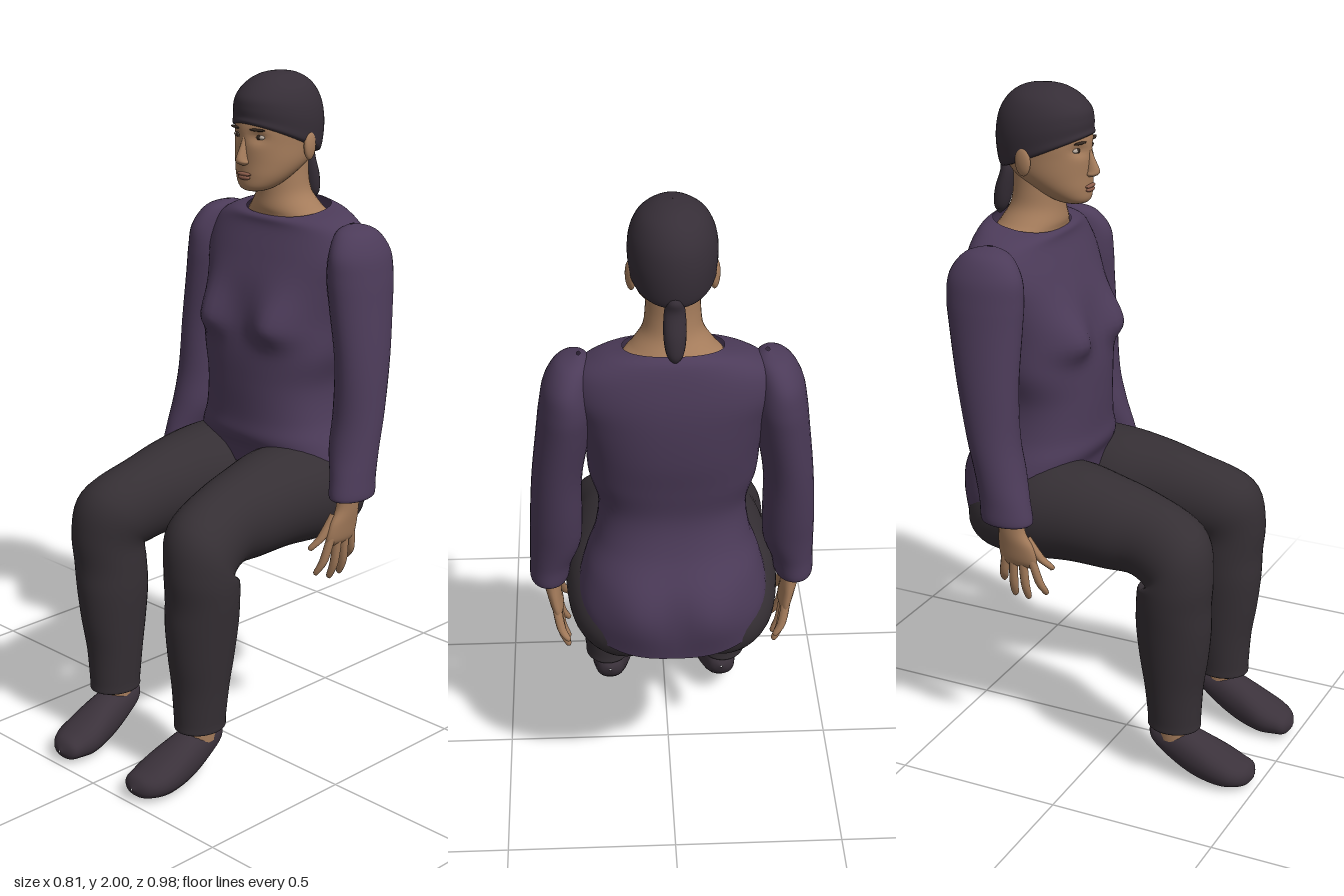
import * as THREE from 'three';

const mat = (name, color, side = THREE.FrontSide) => {
  const m = new THREE.MeshStandardMaterial({ color, side });
  m.name = name;
  return m;
};
const shirt = mat('purple shirt', 0x4c3b59, THREE.DoubleSide);
const trouser = mat('charcoal trousers', 0x352f34, THREE.DoubleSide);
const shoeMat = mat('dark shoe', 0x3b323b);
const hairMat = mat('dark hair', 0x362e37, THREE.DoubleSide);
const skin = mat('skin', 0xa67d5c);
const lipMat = mat('lips', 0x8a5c4a);
const eyeMat = mat('eye white', 0xb5a89c);
const browMat = mat('brow and iris', 0x33271f);

const gauss = (a, sa, b, sb) => Math.exp(-((a / sa) ** 2) - (b / sb) ** 2);

// Smooth skin over oval sections [x, y, z, halfWidth, halfDepth, tilt in degrees].
// Tilt 0 runs downward, tilt 90 runs forward.
function loft(sections, { seg = 32, sub = 5, power = 2, mod } = {}) {
  const rows = (sections.length - 1) * sub;
  const pos = [], index = [];
  const value = (i, k) => sections[Math.min(Math.max(i, 0), sections.length - 1)][k] ?? 0;
  const at = (t, k) => {
    const i = Math.min(Math.floor(t), sections.length - 2), f = t - i;
    const a = value(i - 1, k), b = value(i, k), c = value(i + 1, k), d = value(i + 2, k);
    return b + 0.5 * f * (c - a + f * (2 * a - 5 * b + 4 * c - d + f * (3 * (b - c) + d - a)));
  };
  const bend = (v) => Math.sign(v) * Math.abs(v) ** (2 / power);
  for (let r = 0; r <= rows; r++) {
    const [x, y, z, rx, rv, deg] = [0, 1, 2, 3, 4, 5].map((k) => at(r / sub, k));
    const tilt = THREE.MathUtils.degToRad(deg);
    for (let j = 0; j < seg; j++) {
      const a = (j / seg) * Math.PI * 2;
      const u = Math.max(rx, 0.001) * bend(Math.cos(a)), v = Math.max(rv, 0.001) * bend(Math.sin(a));
      const p = new THREE.Vector3(x + u, y + v * Math.sin(tilt), z + v * Math.cos(tilt));
      if (mod) mod(p, Math.sin(a));
      pos.push(p.x, p.y, p.z);
      if (r < rows) {
        const k = r * seg, n = (j + 1) % seg;
        index.push(k + j, k + n, k + seg + j, k + n, k + seg + n, k + seg + j);
      }
    }
  }
  const g = new THREE.BufferGeometry();
  g.setAttribute('position', new THREE.Float32BufferAttribute(pos, 3));
  g.setIndex(index);
  g.computeVertexNormals();
  return g;
}

export function createModel() {
  const model = new THREE.Group();
  model.name = 'seatedFigure';
  const add = (name, geometry, material) => {
    const m = new THREE.Mesh(geometry, material);
    m.name = name;
    model.add(m);
    return m;
  };
  const blob = (name, material, p, r) => {
    const m = add(name, new THREE.SphereGeometry(1, 24, 16), material);
    m.position.set(...p);
    m.scale.set(...r);
    return m;
  };

  // Shirt body, with bust and seat swelling out of the plain sections
  add('shirtBody', loft([
    [0, 1.605, -0.30, 0.135, 0.10, -10], [0, 1.59, -0.305, 0.20, 0.115, -6],
    [0, 1.55, -0.31, 0.26, 0.125], [0, 1.48, -0.30, 0.28, 0.145],
    [0, 1.40, -0.285, 0.26, 0.16], [0, 1.30, -0.27, 0.24, 0.165],
    [0, 1.20, -0.25, 0.232, 0.165], [0, 1.10, -0.24, 0.207, 0.16],
    [0, 1.00, -0.25, 0.217, 0.17], [0, 0.92, -0.27, 0.245, 0.195, 8],
    [0, 0.84, -0.285, 0.265, 0.20, 18], [0, 0.77, -0.285, 0.265, 0.20, 24],
  ], {
    seg: 56, sub: 6, power: 2.3, mod: (p, s) => {
      const x = Math.abs(p.x);
      if (s > 0) p.z += 0.06 * s * gauss(x - 0.135, 0.075, p.y - 1.285, p.y > 1.285 ? 0.09 : 0.05);
      else p.z += 0.025 * s * gauss(x - 0.11, 0.09, p.y - 0.83, 0.1);
    },
  }), shirt);

  // Trouser seat
  blob('trouserSeat', trouser, [0, 0.755, -0.29], [0.24, 0.125, 0.172]);

  // Head and neck
  add('head', loft([
    [0, 1.965, -0.25, 0, 0], [0, 1.955, -0.25, 0.05, 0.07], [0, 1.92, -0.25, 0.088, 0.112],
    [0, 1.86, -0.25, 0.105, 0.138], [0, 1.80, -0.245, 0.103, 0.135], [0, 1.75, -0.23, 0.097, 0.118],
    [0, 1.71, -0.20, 0.08, 0.088], [0, 1.68, -0.175, 0.055, 0.06], [0, 1.667, -0.165, 0.03, 0.035],
    [0, 1.662, -0.165, 0, 0],
  ], {
    seg: 56, sub: 7, mod: (p, s) => {
      if (s > 0) p.z -= 0.012 * gauss(Math.abs(p.x) - 0.042, 0.022, p.y - 1.825, 0.016);
    },
  }), skin);
  add('neck', loft([
    [0, 1.76, -0.275, 0.072, 0.075], [0, 1.70, -0.275, 0.074, 0.075], [0, 1.65, -0.28, 0.082, 0.08],
    [0, 1.61, -0.29, 0.11, 0.093], [0, 1.585, -0.30, 0.135, 0.098], [0, 1.555, -0.30, 0.14, 0.1],
  ]), skin);
  add('nose', loft([
    [0, 1.83, -0.12, 0.006, 0.008], [0, 1.80, -0.113, 0.009, 0.013], [0, 1.765, -0.105, 0.015, 0.021],
    [0, 1.752, -0.107, 0.019, 0.019], [0, 1.744, -0.112, 0.008, 0.008],
  ], { seg: 16 }), skin);
  blob('upperLip', lipMat, [0, 1.718, -0.113], [0.027, 0.006, 0.009]);
  blob('lowerLip', lipMat, [0, 1.708, -0.113], [0.023, 0.007, 0.009]);

  // Hair cap and ponytail
  add('hairCap', loft([
    [0, 2.0, -0.25, 0, 0], [0, 1.991, -0.25, 0.045, 0.06], [0, 1.965, -0.25, 0.086, 0.105],
    [0, 1.925, -0.252, 0.109, 0.136, 4], [0, 1.88, -0.254, 0.118, 0.147, 10],
    [0, 1.835, -0.252, 0.117, 0.15, 18], [0, 1.81, -0.245, 0.113, 0.148, 22],
    [0, 1.805, -0.245, 0.09, 0.12, 22],
  ], { seg: 40 }), hairMat);
  add('ponytail', loft([
    [0, 1.80, -0.37, 0.008, 0.01], [0, 1.775, -0.38, 0.02, 0.02], [0, 1.74, -0.375, 0.028, 0.021],
    [0, 1.68, -0.39, 0.03, 0.026], [0, 1.63, -0.40, 0.022, 0.021], [0, 1.605, -0.405, 0.003, 0.003],
  ], { seg: 16 }), hairMat);

  for (const s of [1, -1]) {
    const side = s > 0 ? 'left' : 'right';
    const limb = (name, material, sections, options) =>
      add(side + name, loft(sections.map(([x, ...rest]) => [s * x, ...rest]), options), material);

    // Face details
    blob(side + 'Ear', skin, [s * 0.11, 1.795, -0.268], [0.013, 0.042, 0.027]).rotation.y = s * 0.25;
    blob(side + 'Eye', eyeMat, [s * 0.042, 1.825, -0.134], [0.018, 0.007, 0.008]);
    blob(side + 'Iris', browMat, [s * 0.042, 1.825, -0.129], [0.007, 0.007, 0.005]);
    blob(side + 'Brow', browMat, [s * 0.044, 1.847, -0.121], [0.025, 0.004, 0.005]).rotation.y = s * 0.3;

    // Sleeve
    limb('Sleeve', shirt, [
      [0.25, 1.585, -0.30, 0.005, 0.01], [0.265, 1.565, -0.30, 0.045, 0.07],
      [0.28, 1.51, -0.30, 0.065, 0.11], [0.285, 1.44, -0.30, 0.075, 0.117],
      [0.295, 1.36, -0.295, 0.075, 0.11], [0.318, 1.20, -0.28, 0.07, 0.092],
      [0.325, 1.05, -0.262, 0.073, 0.078], [0.33, 0.95, -0.24, 0.072, 0.075],
      [0.345, 0.87, -0.22, 0.06, 0.076], [0.352, 0.81, -0.21, 0.054, 0.078],
      [0.352, 0.815, -0.21, 0.03, 0.05],
    ]);

    // Hand: palm, four fingers and a thumb
    limb('Palm', skin, [
      [0.348, 0.85, -0.20, 0.03, 0.038], [0.345, 0.78, -0.20, 0.026, 0.041],
      [0.34, 0.73, -0.19, 0.022, 0.055], [0.332, 0.68, -0.185, 0.018, 0.058],
      [0.33, 0.66, -0.185, 0.003, 0.04],
    ], { seg: 20 });
    const finger = (name, [x, y, z], [tx, ty, tz], r) => limb(name, skin, [
      [x, y, z, r, r], [x * 0.4 + tx * 0.6 + 0.006, y * 0.4 + ty * 0.6, z * 0.4 + tz * 0.6, r, r],
      [tx, ty + 0.01, tz, r * 0.75, r * 0.75], [tx, ty, tz, 0, 0],
    ], { seg: 10, sub: 3 });
    [[-0.143, -0.115, 0.57], [-0.173, -0.172, 0.545], [-0.202, -0.215, 0.548], [-0.228, -0.25, 0.59]]
      .forEach(([z, tz, ty], i) => finger('Finger' + (i + 1), [0.334, 0.69, z], [0.305, ty, tz], 0.013));
    finger('Thumb', [0.33, 0.76, -0.165], [0.298, 0.65, -0.1], 0.015);

    // Trouser leg, bending at the knee
    limb('TrouserLeg', trouser, [
      [0.13, 0.74, -0.445, 0.01, 0.01, 90], [0.135, 0.735, -0.41, 0.09, 0.08, 90],
      [0.145, 0.75, -0.33, 0.138, 0.125, 90], [0.155, 0.775, -0.20, 0.15, 0.15, 90],
      [0.152, 0.782, -0.08, 0.148, 0.148, 90], [0.16, 0.772, 0.04, 0.13, 0.138, 88],
      [0.165, 0.757, 0.14, 0.115, 0.125, 80], [0.187, 0.715, 0.24, 0.113, 0.125, 52],
      [0.20, 0.65, 0.25, 0.107, 0.114, 15], [0.198, 0.58, 0.245, 0.105, 0.11],
      [0.193, 0.50, 0.243, 0.10, 0.112], [0.19, 0.40, 0.243, 0.09, 0.103],
      [0.187, 0.30, 0.243, 0.08, 0.088], [0.186, 0.20, 0.245, 0.071, 0.08],
      [0.186, 0.17, 0.245, 0.068, 0.078], [0.186, 0.18, 0.245, 0.045, 0.05],
    ], { seg: 36 });

    // Ankle and shoe
    limb('Ankle', skin, [[0.184, 0.24, 0.245, 0.05, 0.055], [0.182, 0.13, 0.245, 0.047, 0.052]], { seg: 20 });
    limb('Shoe', shoeMat, [
      [0.18, 0.145, 0.165, 0.003, 0.003, 90], [0.18, 0.138, 0.185, 0.038, 0.036, 90],
      [0.178, 0.112, 0.25, 0.052, 0.062, 90], [0.175, 0.083, 0.32, 0.062, 0.067, 90],
      [0.17, 0.06, 0.39, 0.07, 0.056, 90], [0.168, 0.05, 0.44, 0.064, 0.042, 90],
      [0.16, 0.045, 0.475, 0.045, 0.029, 90], [0.16, 0.043, 0.492, 0.003, 0.003, 90],
    ], { seg: 24, power: 2.2 });
  }
  return model;
}
